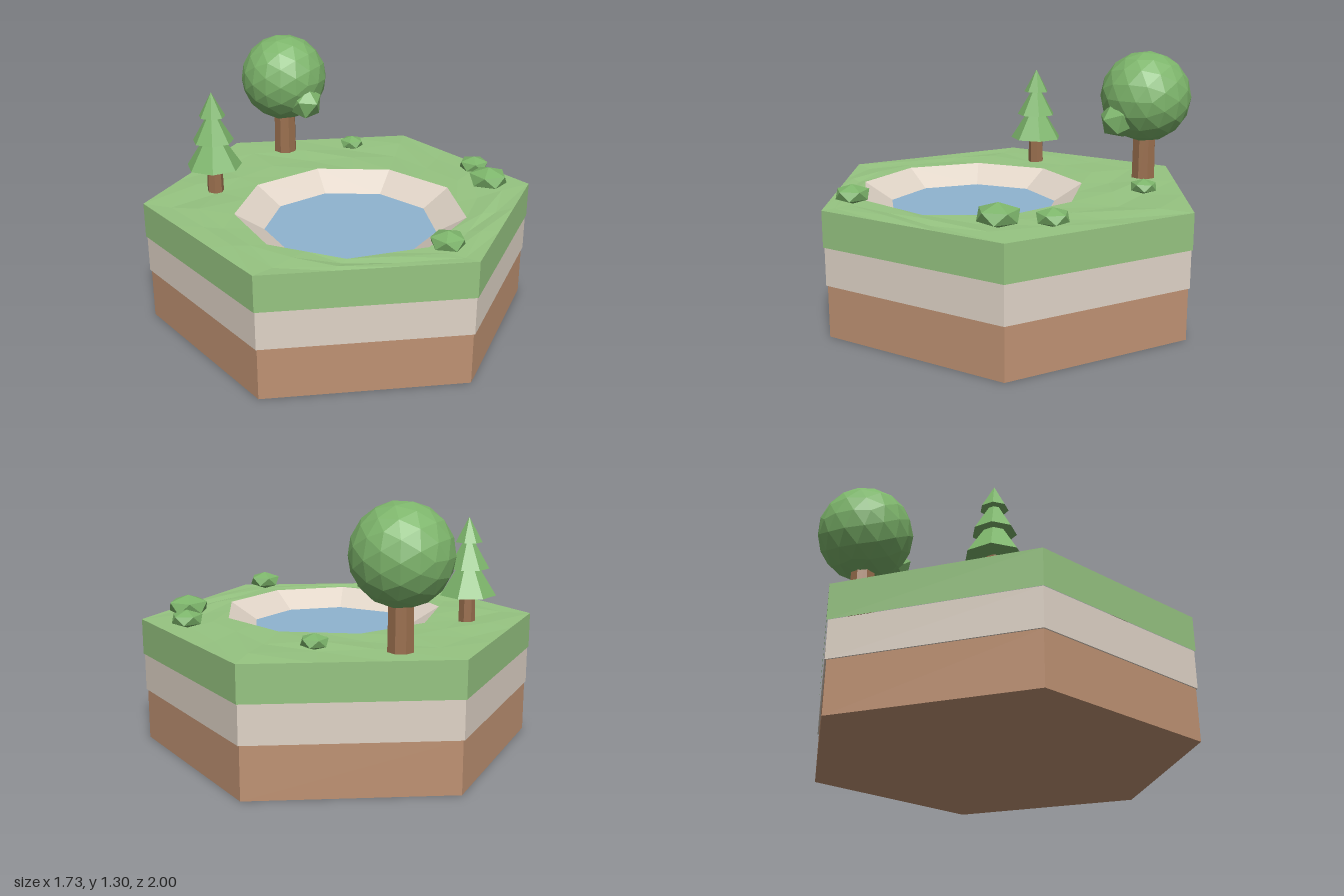
import * as THREE from 'three';
import { ParametricGeometry } from 'three/addons/geometries/ParametricGeometry.js';

const mat = (color, side = THREE.FrontSide) =>
  new THREE.MeshStandardMaterial({ color, side, flatShading: true });

const GRASS = mat(0x96c481), SAND = mat(0xe0d4c7), SOIL = mat(0xbf9273);
const WALL = mat(0xe0d4c7, THREE.DoubleSide), WATER = mat(0x8fb4d0);
const BARK = mat(0x9a6f4e), LEAF = mat(0x7db56b);

const GROUND = 0.63;
const POND = { x: 0.115, z: 0.155, sides: 9, rim: 0.575, shore: 0.43, level: 0.54 };

// distance from centre to edge of a regular polygon with a corner at angle 0
function polyRadius(a, sides, r) {
  const step = (2 * Math.PI) / sides;
  const k = ((a % step) + step) % step - step / 2;
  return (r * Math.cos(step / 2)) / Math.cos(k);
}

function add(parent, name, geometry, material, x = 0, y = 0, z = 0) {
  const mesh = new THREE.Mesh(geometry, material);
  mesh.name = name;
  mesh.position.set(x, y, z);
  parent.add(mesh);
  return mesh;
}

// vertical prism standing on y
function prism(parent, name, material, rTop, rBottom, y0, y1, sides, x = 0, z = 0, open = false) {
  const geometry = new THREE.CylinderGeometry(rTop, rBottom, y1 - y0, sides, 1, open);
  geometry.rotateY(Math.PI); // one corner towards the back
  return add(parent, name, geometry, material, x, (y0 + y1) / 2, z);
}

// uneven lawn stretched between the pond rim and the hexagon edge
function lawnGeometry() {
  const point = (u, v, target) => {
    const a = u * 2 * Math.PI;
    const inner = polyRadius(a, POND.sides, POND.rim);
    const outer = polyRadius(a, 6, 1);
    const s = Math.sin(a), c = -Math.cos(a);
    const i = Math.round(u * 18) % 18, j = Math.round(v * 3);
    const inside = j === 1 || j === 2;
    const bump = inside ? 0.006 * Math.sin(i * 2.4 + j * 4.1) : 0;
    const w = inside ? v + 0.06 * Math.sin(i * 5.3 + j) : v;
    target.set(
      THREE.MathUtils.lerp(POND.x + s * inner, s * outer, w),
      GROUND + bump,
      THREE.MathUtils.lerp(POND.z + c * inner, c * outer, w));
  };
  return new ParametricGeometry(point, 18, 3);
}

function createIsland() {
  const island = new THREE.Group();
  island.name = 'island';
  prism(island, 'soilLayer', SOIL, 0.985, 0.985, 0, 0.26, 6);
  prism(island, 'sandLayer', SAND, 0.993, 0.993, 0.26, 0.452, 6);
  prism(island, 'grassLayer', GRASS, 1, 1, 0.45, GROUND, 6, 0, 0, true);
  add(island, 'lawn', lawnGeometry(), GRASS);
  prism(island, 'pondBank', WALL, POND.rim, POND.shore, POND.level, GROUND,
    POND.sides, POND.x, POND.z, true);
  prism(island, 'pondWater', WATER, POND.shore, POND.shore, POND.level - 0.04, POND.level,
    POND.sides, POND.x, POND.z);
  return island;
}

function createRoundTree(x, z) {
  const tree = new THREE.Group();
  tree.name = 'roundTree';
  prism(tree, 'roundTreeTrunk', BARK, 0.06, 0.064, GROUND - 0.01, 0.95, 8, x, z);
  add(tree, 'roundTreeCrown', new THREE.IcosahedronGeometry(0.237, 2), LEAF, x, 1.065, z);
  add(tree, 'sideFoliage', new THREE.IcosahedronGeometry(0.097, 0), LEAF, x + 0.165, 0.955, z + 0.08)
    .rotation.set(0.3, 0.2, 0.25);
  return tree;
}

function createPineTree(x, z) {
  const tree = new THREE.Group();
  tree.name = 'pineTree';
  prism(tree, 'pineTrunk', BARK, 0.04, 0.043, GROUND - 0.01, 0.8, 7, x, z);
  // radius, base and tip of each tier
  [[0.143, 0.765, 0.99], [0.106, 0.9, 1.08], [0.068, 1.03, 1.155]].forEach(([r, y0, y1], i) =>
    prism(tree, 'pineTier' + (i + 1), LEAF, 0, r, y0, y1, 7, x, z));
  return tree;
}

// flattened shrub with one corner pointing up
function createBush(x, z, r, top) {
  const geometry = new THREE.IcosahedronGeometry(1, 0);
  geometry.rotateZ(-Math.atan(2 / (1 + Math.sqrt(5))));
  geometry.rotateY(x * 7);
  geometry.scale(r / 0.92, r * 0.58, r / 0.92);
  const bush = new THREE.Group();
  add(bush, 'bush', geometry, LEAF, x, top - r * 0.58, z);
  bush.name = 'bushGroup';
  return bush;
}

export function createModel() {
  const model = new THREE.Group();
  model.name = 'pondIsland';
  model.add(createIsland(), createRoundTree(-0.55, -0.5), createPineTree(-0.62, 0.2));
  // x, z, radius, top
  [[-0.2, -0.655, 0.066, 0.71], [0.55, -0.555, 0.077, 0.722],
    [0.68, -0.355, 0.1, 0.747], [0.7, 0.45, 0.083, 0.73]]
    .forEach((b) => model.add(createBush(...b)));
  return model;
}
